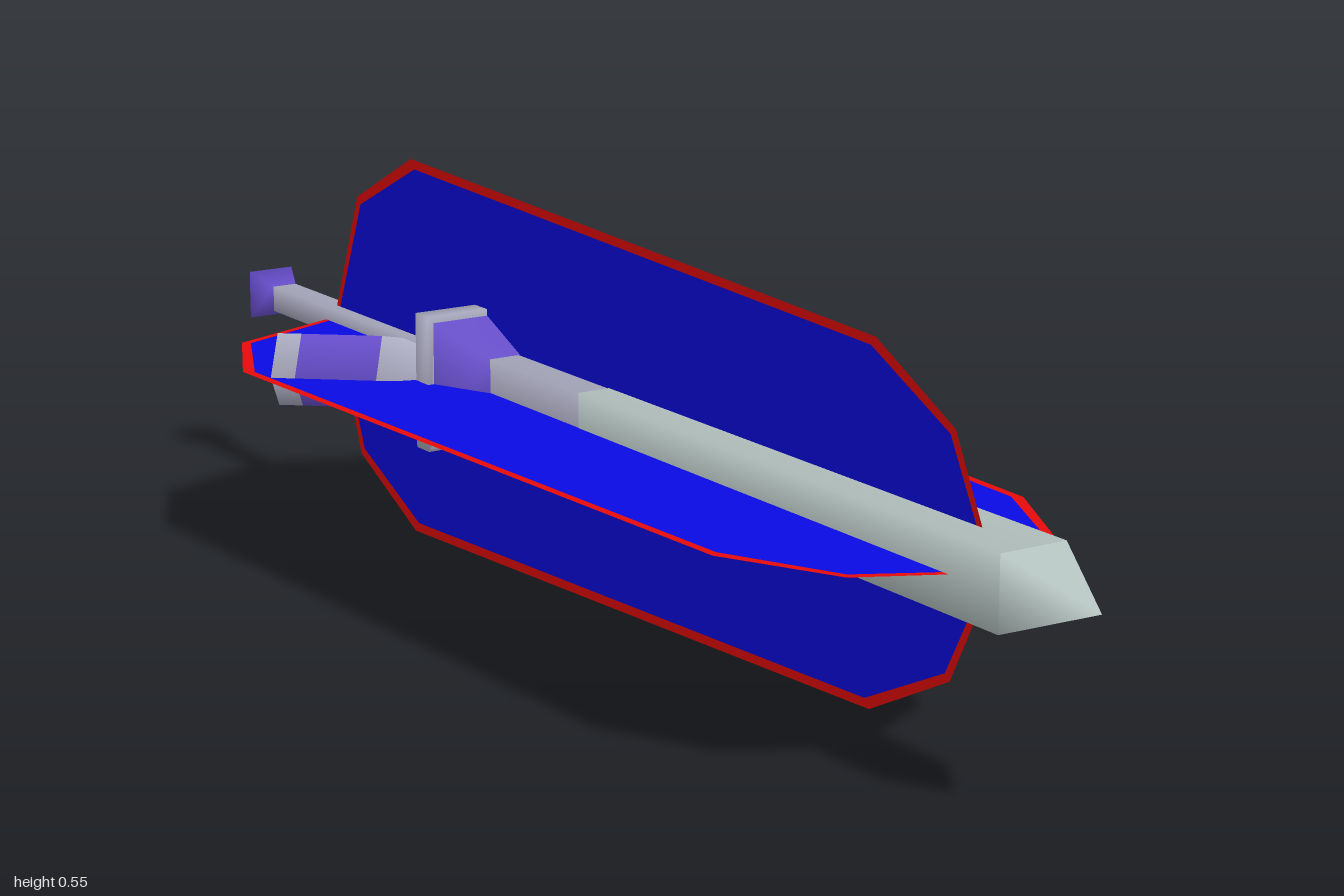
import * as THREE from 'three';

const mat = (name, color, double = false) => {
  const m = new THREE.MeshStandardMaterial({ color });
  m.name = name;
  if (double) m.side = THREE.DoubleSide;
  return m;
};

// Four-sided solid along +z from [z, half width] pairs, listed from back to front
function squareProfile(name, pairs, material, diamond = false) {
  const k = diamond ? 1 : Math.SQRT2;
  const pts = pairs.map(([z, h]) => new THREE.Vector2(h * k, z));
  const geo = new THREE.LatheGeometry(pts, 4, diamond ? 0 : Math.PI / 4);
  geo.rotateX(Math.PI / 2);
  const mesh = new THREE.Mesh(geo, material);
  mesh.name = name;
  return mesh;
}

// Mirrored outline of an aura sheet, optionally inset
function sheetOutline(inset) {
  const half = [[0, 0.81], [0.05, 0.787], [0.153, 0.735], [0.232, 0.58], [0.276, -0.52], [0.195, -0.68], [0, -0.755]];
  const s = half.map(([u, z]) => [u * (1 - inset / 0.24), z - Math.sign(z) * inset * 0.8]);
  const mirrored = s.slice(1, -1).reverse().map(([u, z]) => [-u, z]);
  return [...s, ...mirrored].map(([u, z]) => new THREE.Vector2(u, z));
}

export function createModel() {
  const pale = mat('paleSteel', 0xbccbc8);
  const silver = mat('silver', 0xb0b0c6);
  const purple = mat('purple', 0x6a50d2);
  const dark = mat('darkGrey', 0x30303a);
  const blue = mat('blue', 0x0a0ae4, true);
  const red = mat('red', 0xe60a0a, true);

  const model = new THREE.Group();
  model.name = 'sword';
  const body = new THREE.Group();
  body.name = 'swordBody';
  body.position.y = 0.277;
  model.add(body);

  // Blade and its pointed tip
  body.add(
    squareProfile('bladeBase', [[-0.25, 0.047], [0, 0.047]], silver),
    squareProfile('blade', [[0, 0.048], [0.88, 0.048]], pale),
    squareProfile('bladeTip', [[0.88, 0.048], [1, 0]], pale)
  );

  // Guard block: flared front, square rim and stepped back
  body.add(
    squareProfile('guardFront', [[-0.315, 0.088], [-0.225, 0.048]], purple),
    squareProfile('guardRim', [[-0.345, 0.086], [-0.345, 0.096], [-0.312, 0.096], [-0.312, 0.086]], silver),
    squareProfile('guardBack', [[-0.405, 0.048], [-0.345, 0.088]], purple),
    squareProfile('guardCollar', [[-0.42, 0.044], [-0.405, 0.048]], silver),
    squareProfile('guardNeck', [[-0.46, 0.02], [-0.42, 0.044]], purple)
  );

  // Grip and pommel
  body.add(
    squareProfile('grip', [[-0.93, 0.019], [-0.44, 0.019]], silver),
    squareProfile('pommel', [[-1, 0], [-0.96, 0.036], [-0.915, 0.019]], purple)
  );

  // Swept-back guard arms
  for (const side of [1, -1]) {
    const arm = new THREE.Group();
    arm.name = side > 0 ? 'leftGuardArm' : 'rightGuardArm';
    arm.position.z = -0.32;
    arm.rotation.y = side * Math.atan2(0.77, -0.64);
    arm.add(
      squareProfile('armRoot', [[0.06, 0.028], [0.115, 0.05], [0.145, 0.052]], silver, true),
      squareProfile('armSleeve', [[0.145, 0.052], [0.26, 0.052]], purple, true),
      squareProfile('armEnd', [[0.26, 0.052], [0.294, 0.052]], silver, true),
      squareProfile('armCap', [[0.294, 0.052], [0.295, 0]], dark, true)
    );
    body.add(arm);
  }

  // Two crossing sheets with a thin border
  for (const [name, roll] of [['horizontalSheet', 0], ['verticalSheet', Math.PI / 2]]) {
    const border = new THREE.Shape(sheetOutline(0));
    border.holes.push(new THREE.Path(sheetOutline(0.012)));
    const parts = [['Panel', new THREE.Shape(sheetOutline(0.012)), blue], ['Border', border, red]];
    for (const [suffix, shape, material] of parts) {
      const geo = new THREE.ShapeGeometry(shape);
      geo.rotateX(Math.PI / 2);
      geo.rotateZ(roll);
      const mesh = new THREE.Mesh(geo, material);
      mesh.name = name + suffix;
      body.add(mesh);
    }
  }
  return model;
}
